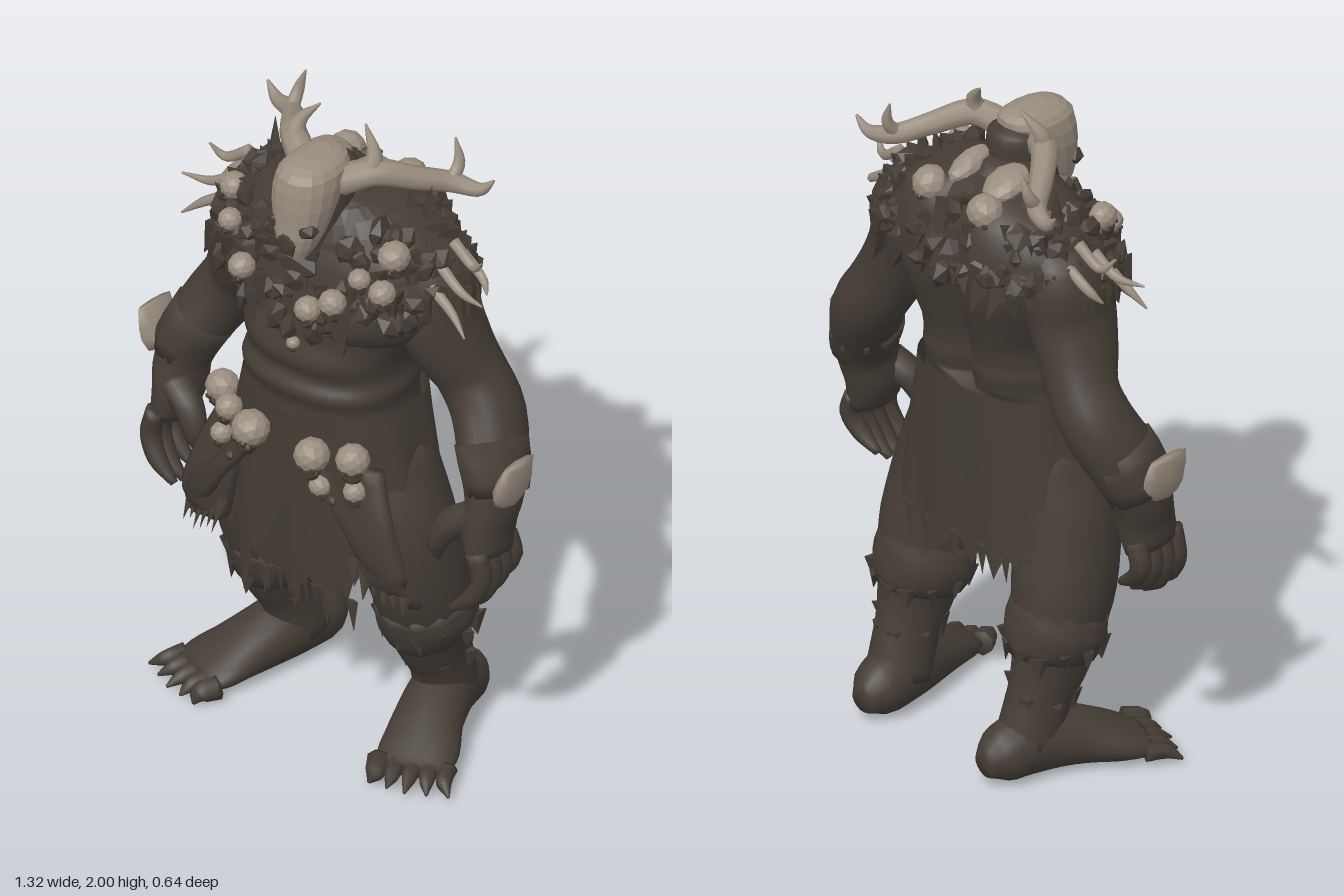
import * as THREE from 'three';

const hide = new THREE.MeshStandardMaterial({ color: 0x443d35, side: THREE.DoubleSide });
hide.name = 'dark hide';
const bone = new THREE.MeshStandardMaterial({ color: 0x9a8d7f });
bone.name = 'bone';
const V = (x, y, z) => new THREE.Vector3(x, y, z);
const bend = (c, pow) => Math.sign(c) * Math.abs(c) ** pow;

let seed = 7;
const rnd = (a = 0, b = 1) => {
  seed = (seed * 16807) % 2147483647;
  return a + (b - a) * seed / 2147483647;
};

// Smooth closed tube through points [x, y, z, radius, depth radius]; ref is the depth direction, level keeps rings horizontal
function tube(pts, { ref = V(0, 0, 1), rows = pts.length * 3, seg = 16, pow = 1, side = 1, level = false } = {}) {
  const path = new THREE.CatmullRomCurve3(pts.map(p => V(p[0] * side, p[1], p[2])));
  const size = new THREE.CatmullRomCurve3(pts.map(p => V(p[3], p[4] ?? p[3], 0)));
  const pos = [], idx = [];
  for (let i = 0; i <= rows; i++) {
    const c = path.getPoint(i / rows), r = size.getPoint(i / rows);
    const t = level ? V(0, 1, 0) : path.getTangent(i / rows);
    const b = ref.clone().addScaledVector(t, -t.dot(ref)).normalize();
    const s = b.clone().cross(t);
    for (let j = 0; j < seg; j++) {
      const a = j / seg * Math.PI * 2;
      const p = c.clone().addScaledVector(s, bend(Math.cos(a), pow) * r.x).addScaledVector(b, bend(Math.sin(a), pow) * r.y);
      pos.push(p.x, Math.max(p.y, 0), p.z);
      const n = i * seg + j, m = i * seg + (j + 1) % seg;
      if (i < rows) idx.push(n, m, n + seg, m, m + seg, n + seg);
    }
  }
  const end = (rows + 1) * seg, last = rows * seg;
  for (const k of [0, 1]) { const c = path.getPoint(k); pos.push(c.x, c.y, c.z); }
  for (let j = 0; j < seg; j++) {
    const m = (j + 1) % seg;
    idx.push(end, m, j, end + 1, last + j, last + m);
  }
  const g = new THREE.BufferGeometry();
  g.setAttribute('position', new THREE.Float32BufferAttribute(pos, 3));
  g.setIndex(idx);
  g.computeVertexNormals();
  return g;
}

function flat(g) {
  const f = g.index ? g.toNonIndexed() : g;
  f.computeVertexNormals();
  return f;
}

export function createModel() {
  const model = new THREE.Group();
  const add = (name, geo, mat = hide, parent = model) => {
    const m = new THREE.Mesh(geo, mat);
    m.name = name;
    parent.add(m);
    return m;
  };
  const coneGeo = flat(new THREE.ConeGeometry(1, 1, 4).translate(0, 0.4, 0));
  const lumpGeo = flat(new THREE.IcosahedronGeometry(1, 1));
  const chunkGeo = flat(new THREE.IcosahedronGeometry(1, 0));

  // Faceted lump with its own size on each axis
  const chunk = (name, p, size, mat = hide, geo = chunkGeo, parent = model) => {
    const m = add(name, geo, mat, parent);
    m.position.set(...p);
    m.scale.set(...size);
    return m;
  };
  // Pointed tuft of fur or cloth
  const tuft = (name, p, dir, r, len, thin = 0.5) => {
    const m = add(name, coneGeo);
    m.position.copy(p);
    m.quaternion.setFromUnitVectors(V(0, 1, 0), dir.normalize());
    m.scale.set(r, len, r * thin);
  };
  // Trophy skull with a dark jaw, facing away from the body
  const skull = (x, y, z, r) => {
    const g = new THREE.Group();
    g.name = 'trophySkull';
    g.position.set(x, y, z);
    g.rotation.y = Math.atan2(x * 0.6, z);
    chunk('cranium', [0, 0, 0], [r, r * 0.95, r], bone, lumpGeo, g);
    chunk('jaw', [0, -r * 0.8, r * 0.3], [r * 0.7, r * 0.65, r * 0.55], hide, chunkGeo, g);
    for (const s of [-1, 1]) chunk('socket', [s * r * 0.36, -r * 0.45, r * 0.75], [r * 0.22, r * 0.22, r * 0.22], hide, chunkGeo, g);
    model.add(g);
  };

  // Torso with belly rolls, a spine groove and shoulder blades
  const rings = [[0.75, 0.22, 0.13, -0.14], [1.0, 0.26, 0.2, -0.17], [1.1, 0.26, 0.225, -0.17], [1.16, 0.25, 0.225, -0.17],
    [1.21, 0.255, 0.24, -0.18], [1.255, 0.245, 0.22, -0.18], [1.31, 0.25, 0.235, -0.19], [1.38, 0.28, 0.215, -0.21], [1.5, 0.34, 0.21, -0.245],
    [1.62, 0.36, 0.18, -0.25], [1.72, 0.29, 0.13, -0.22], [1.79, 0.13, 0.08, -0.16]];
  const torso = tube(rings.map(([y, rx, f, b]) => [0, y, (f + b) / 2, rx, (f - b) / 2]), { rows: 48, seg: 36, pow: 0.85, level: true });
  const tp = torso.attributes.position;
  for (let i = 0; i < tp.count; i++) {
    const x = tp.getX(i), y = tp.getY(i), z = tp.getZ(i);
    if (z < -0.08 && y > 1.15) tp.setZ(i, z + 0.045 * Math.exp(-((x / 0.04) ** 2)) - 0.015 * Math.exp(-(((Math.abs(x) - 0.14) / 0.06) ** 2)));
  }
  torso.computeVertexNormals();
  add('torso', torso);

  // Head, mane and skull mask
  add('head', tube([[0, 1.58, 0.1, 0.05], [0, 1.66, 0.08, 0.085, 0.11], [0, 1.78, 0.07, 0.09, 0.11], [0, 1.88, 0.04, 0.08, 0.075],
    [0, 1.9, 0.04, 0.04, 0.04]], { level: true }));
  add('neckMane', tube([[0, 1.58, 0, 0.22, 0.15], [0, 1.72, -0.03, 0.17, 0.13], [0, 1.82, 0.0, 0.08, 0.07]], { level: true }));
  add('skullMask', flat(tube([[0, 1.65, 0.19, 0.04, 0.035], [0, 1.7, 0.175, 0.065, 0.065], [0, 1.76, 0.16, 0.08, 0.08],
    [0, 1.84, 0.14, 0.092, 0.1], [0, 1.9, 0.115, 0.085, 0.115], [0, 1.925, 0.105, 0.065, 0.1], [0, 1.938, 0.1, 0.03, 0.05]],
    { seg: 16, rows: 9, pow: 0.85, level: true })), bone);
  chunk('noseHole', [0, 1.7, 0.23], [0.036, 0.05, 0.017]);
  chunk('jawBeard', [0, 1.6, 0.16], [0.08, 0.07, 0.06]);

  for (const s of [-1, 1]) {
    const limb = (name, pts, opt = {}, mat = hide) => add(name, tube(pts, { side: s, ...opt }), mat);

    chunk('eyeSocket', [s * 0.054, 1.752, 0.208], [0.034, 0.026, 0.032]);

    // Branched horns
    const up = { ref: V(0, 0.9, 0.3).normalize(), seg: 8 };
    limb('horn', [[0.06, 1.85, 0.07, 0.045], [0.14, 1.885, 0.02, 0.04], [0.22, 1.85, -0.07, 0.034], [0.285, 1.82, -0.15, 0.03],
      [0.36, 1.81, -0.18, 0.02], [0.4, 1.85, -0.19, 0.004]], up, bone);
    limb('hornFork', [[0.28, 1.82, -0.14, 0.022], [0.285, 1.87, -0.18, 0.018], [0.265, 1.94, -0.19, 0.003]], { seg: 7 }, bone);
    limb('hornSpike', [[0.13, 1.87, 0.03, 0.035], [0.135, 1.93, 0.01, 0.024], [0.08, 2.0, -0.02, 0.003]], { seg: 7 }, bone);

    // Chest and arm with muscle swells
    limb('chestMuscle', [[0.02, 1.43, 0.13, 0.04, 0.04], [0.12, 1.46, 0.135, 0.1, 0.08], [0.24, 1.5, 0.09, 0.11, 0.085],
      [0.34, 1.53, 0.02, 0.07, 0.06]]);
    limb('arm', [[0.24, 1.65, -0.06, 0.08, 0.1], [0.295, 1.57, -0.055, 0.12, 0.14], [0.315, 1.46, -0.045, 0.112, 0.14],
      [0.355, 1.36, -0.06, 0.105, 0.125], [0.405, 1.26, -0.085, 0.1, 0.105], [0.465, 1.17, -0.08, 0.1, 0.11],
      [0.525, 1.05, -0.03, 0.09, 0.11], [0.55, 0.95, 0, 0.075, 0.095], [0.545, 0.87, 0.02, 0.068, 0.095], [0.56, 0.79, 0.03, 0.05, 0.09]]);
    for (let k = 0; k < 4; k++) {
      const z = 0.1 - k * 0.045, len = [0.95, 1, 0.9, 0.75][k];
      limb('finger', [[0.565, 0.82, z, 0.032], [0.585, 0.82 - 0.09 * len, z, 0.031], [0.555, 0.82 - 0.16 * len, z + 0.01, 0.028],
        [0.49, 0.82 - 0.22 * len, z + 0.015, 0.012]], { seg: 8 });
    }
    limb('thumb', [[0.53, 0.91, 0.06, 0.05], [0.465, 0.87, 0.085, 0.045], [0.428, 0.8, 0.1, 0.034], [0.43, 0.75, 0.1, 0.01]], { seg: 8 });
    limb('armWrap', [[0.505, 1.1, -0.045, 0.1, 0.115], [0.54, 1.03, -0.02, 0.094, 0.115], [0.56, 0.97, -0.005, 0.08, 0.1]], { seg: 10, rows: 3 });
    limb('bracerPlate', [[0.61, 0.98, 0.02, 0.03, 0.055], [0.625, 1.03, 0.015, 0.033, 0.08], [0.645, 1.105, 0.01, 0.016, 0.07]],
      { seg: 8, rows: 3 }, bone);

    // Leg, foot and clawed toes
    limb('leg', [[0.17, 0.98, 0, 0.12, 0.14], [0.23, 0.75, 0.01, 0.15, 0.16], [0.265, 0.56, -0.025, 0.14, 0.155], [0.265, 0.44, -0.055, 0.13, 0.14],
      [0.27, 0.34, -0.08, 0.1, 0.125], [0.265, 0.22, -0.125, 0.085, 0.1], [0.26, 0.1, -0.16, 0.09, 0.1]]);
    limb('foot', [[0.245, 0.075, -0.315, 0.035, 0.04], [0.25, 0.09, -0.25, 0.08, 0.085], [0.27, 0.105, -0.13, 0.09, 0.1],
      [0.31, 0.085, -0.01, 0.1, 0.08], [0.36, 0.055, 0.1, 0.115, 0.05], [0.385, 0.04, 0.16, 0.1, 0.03]], { ref: V(0, 1, 0) });
    for (let k = -2; k <= 2; k++) {
      const x = 0.375 + k * 0.045, z = 0.14 - k * 0.02, r = k === -2 ? 0.036 : 0.028;
      limb('toe', [[x, 0.045, z, r], [x + 0.025, 0.04, z + 0.05, r * 0.85], [x + 0.045 + k * 0.01, 0.02, z + 0.1 - Math.abs(k) * 0.01, 0.004]],
        { ref: V(0, 1, 0), seg: 7 });
    }

    // Knee and ankle wraps with ragged fur
    limb('kneeWrap', [[0.265, 0.5, -0.04, 0.135, 0.15], [0.265, 0.43, -0.058, 0.15, 0.15], [0.268, 0.355, -0.075, 0.115, 0.135]], { seg: 12, rows: 5 });
    for (const [cy, cz, rx, rz, n] of [[0.4, -0.065, 0.13, 0.135, 12], [0.25, -0.115, 0.085, 0.09, 7]])
      for (let k = 0; k < n; k++) {
        const a = k / n * 6.283, x = Math.sin(a), z = Math.cos(a);
        tuft('legFur', V(s * 0.267 + x * rx, cy + rnd(-0.02, 0.02), cz + z * rz), V(x * 0.1, -1, z * 0.1), 0.035, rnd(0.05, 0.08));
      }

    // Bone tusks on the shoulders
    for (const [y, z, x, ty] of [[1.61, 0, 0.53, 1.6], [1.56, 0.04, 0.5, 1.5], [1.66, -0.06, 0.48, 1.69], [1.6, -0.1, 0.47, 1.56]])
      limb('shoulderTusk', [[0.36, y + 0.04, z, 0.018], [0.44, y - 0.01, z + 0.01, 0.014], [x, ty, z + 0.03, 0.003]], { ref: V(0, 1, 0), seg: 6 }, bone);

    // Hip pelts and studded hanging straps
    limb('hipPelt', [[0.24, 1.0, 0.17, 0.05, 0.03], [0.27, 0.85, 0.2, 0.08, 0.035], [0.31, 0.7, 0.2, 0.09, 0.035], [0.33, 0.64, 0.19, 0.06, 0.02]], { seg: 10 });
    for (let k = 0; k < 6; k++) tuft('peltFur', V(s * (0.24 + k * 0.028), 0.72 - k * 0.012, 0.22 - k * 0.008), V(s * 0.1, -1, 0.35), 0.03, rnd(0.08, 0.12));
    limb('strap', [[0.12, 1.0, 0.245, 0.03, 0.012], [0.24, 0.84, 0.25, 0.032, 0.012], [0.34, 0.7, 0.22, 0.032, 0.012],
      [0.39, 0.59, 0.15, 0.03, 0.012]], { seg: 6 });
    for (let k = 0; k < 4; k++) chunk('strapStud', [s * (0.18 + k * 0.05), 0.92 - k * 0.07, 0.26 - k * 0.015], [0.017, 0.017, 0.017]);
    skull(s * 0.11, 1.75, -0.18, 0.054);
  }
  // Bone plates behind the neck
  for (const [x, w] of [[-0.1, 0.06], [0.048, 0.04]])
    chunk('napePlate', [x, 1.8, -0.09], [w, 0.035, 0.078], bone, lumpGeo).rotation.x = -0.35;

  // Fur collar: a draped shell covered in tufts and chunks
  const drape = (a, u) => {
    const c = Math.cos(a), front = Math.max(0, c);
    return V(bend(Math.sin(a), 0.9) * (0.1 + 0.3 * u), 1.79 - 0.21 * u ** 3 - 0.04 * u - front ** 3 * 0.13 * u,
      bend(c, 0.9) * (0.09 + 0.13 * u) - 0.03 * (1 - front));
  };
  const collar = new THREE.CylinderGeometry(1, 1, 1, 36, 6, true);
  const cp = collar.attributes.position, cu = collar.attributes.uv;
  for (let i = 0; i < cp.count; i++) {
    const p = drape(cu.getX(i) * Math.PI * 2, 1 - cu.getY(i));
    cp.setXYZ(i, p.x, p.y, p.z);
  }
  add('furCollar', flat(collar));
  for (let k = 0; k < 240; k++) {
    const a = k * 2.39996, u = 0.42 + 0.58 * Math.sqrt(rnd());
    const p = drape(a, u), out = V(Math.sin(a), 0, Math.cos(a));
    if (k % 2) tuft('collarFur', p, out.multiplyScalar(rnd(0.1, 0.35)).add(V(rnd(-0.2, 0.2), rnd(-1, -0.5), 0)), rnd(0.035, 0.06), rnd(0.07, 0.12));
    else chunk('collarChunk', p.toArray(), [rnd(0.035, 0.055), rnd(0.035, 0.055), rnd(0.02, 0.035)]).rotation.set(rnd(0, 3), rnd(0, 3), 0);
  }
  for (const x of [-0.27, -0.21, 0.21, 0.27]) tuft('shoulderSpike', V(x, 1.76, -0.06), V(x * 0.3, 1, -0.1), 0.022, 0.1, 1);

  // Skulls on the collar and belt
  for (const [x, y, z, r] of [[-0.29, 1.7, 0.1, 0.042], [-0.25, 1.64, 0.17, 0.035], [-0.165, 1.55, 0.225, 0.04], [0.08, 1.515, 0.24, 0.04],
    [0.155, 1.56, 0.225, 0.041], [0.28, 1.61, 0.16, 0.04], [0.215, 1.64, 0.18, 0.033], [0.275, 1.7, 0.1, 0.048], [0.02, 1.37, 0.23, 0.02],
    [-0.3, 1.04, 0.14, 0.05], [-0.23, 1.03, 0.2, 0.04], [-0.11, 1.04, 0.255, 0.056], [0.11, 1.045, 0.26, 0.053], [0.215, 1.045, 0.21, 0.05],
    [0.14, 0.955, 0.26, 0.034], [-0.24, 0.95, 0.22, 0.033], [0.23, 0.95, 0.22, 0.034]]) skull(x, y, z, r);

  // Ragged skirt, deeper at the front
  const n = 54, skirt = new THREE.CylinderGeometry(1, 1, 1, n, 6, true);
  const sp = skirt.attributes.position, su = skirt.attributes.uv;
  for (let i = 0; i < sp.count; i++) {
    const col = Math.round(su.getX(i) * n) % n, a = col / n * Math.PI * 2, v = 1 - su.getY(i), c = Math.cos(a);
    const rag = v > 0.99 ? (col % 2) * 0.06 + (col * 7 % 5) * 0.012 : 0;
    const hem = c > 0.86 ? 0.5 : 0.64 - 0.06 * Math.max(0, -c);
    const fold = 1 + 0.05 * v * Math.sin(a * 11);
    const depth = c > 0 ? 0.225 - 0.02 * v * v : 0.19;
    sp.setXYZ(i, bend(Math.sin(a), 0.85) * (0.262 + 0.1 * v) * fold, 1.15 - (1.15 - hem) * v + rag, bend(c, 0.75) * depth * fold);
  }
  skirt.computeVertexNormals();
  add('skirt', skirt);
  for (let k = 0; k < 26; k++) {
    const a = k / 26 * 6.283, c = Math.cos(a);
    tuft('skirtTatter', V(bend(Math.sin(a), 0.85) * 0.36, c > 0.86 ? 0.53 : 0.67, bend(c, 0.75) * 0.195), V(Math.sin(a) * 0.15, -1, 0), 0.022, rnd(0.08, 0.13), 0.3);
  }
  for (let k = 0; k < 7; k++) tuft('loinStrand', V(-0.09 + k * 0.03, 0.54, 0.19), V(0, -1, -0.15), 0.012, rnd(0.08, 0.16), 0.5);
  return model;
}
